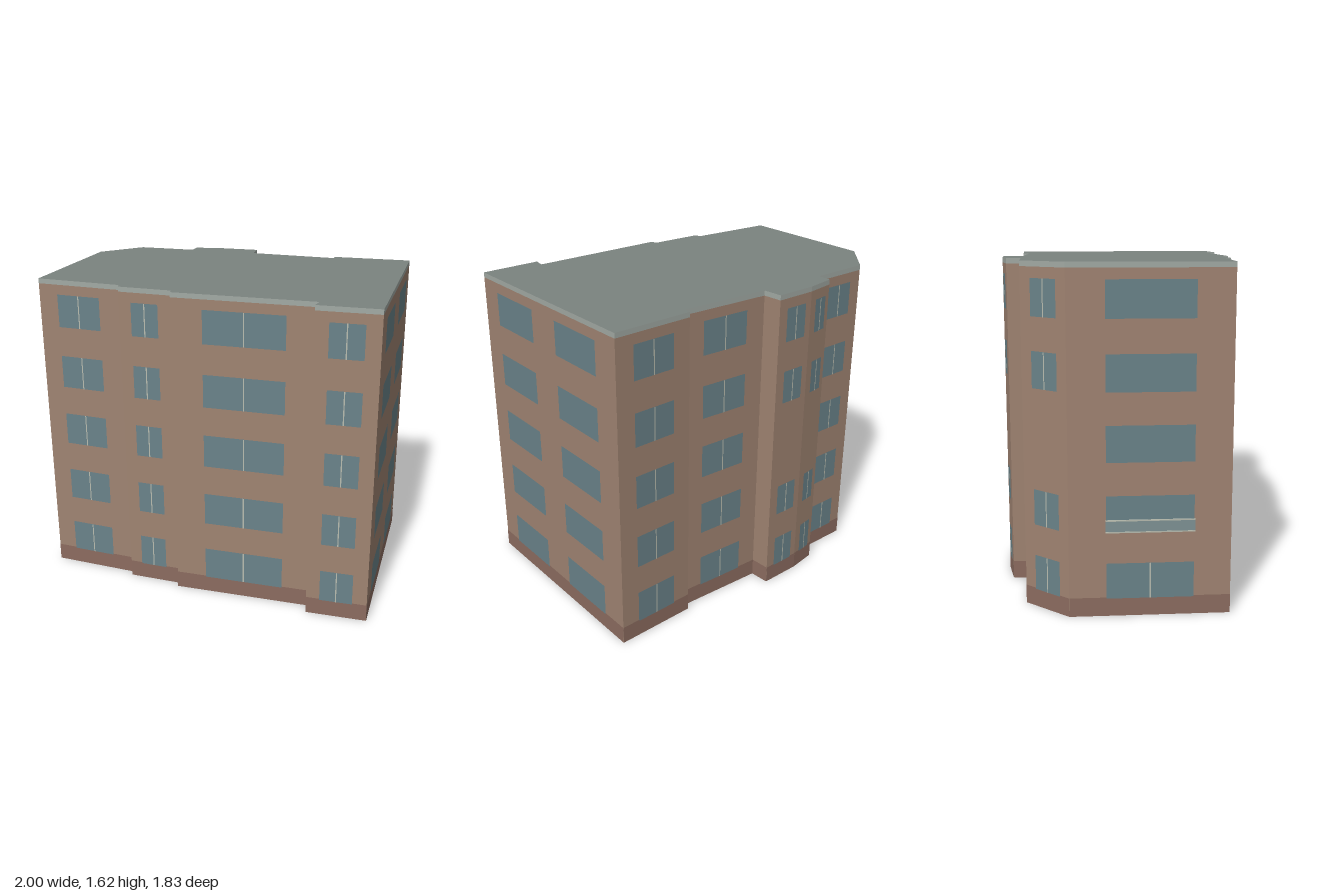
import * as THREE from 'three';

const HEIGHT = 1.62, CAP = 0.025, BASE = 0.09;
const ROWS = [0.085, 0.405, 0.73, 1.05, 1.375];
const WINDOW_H = 0.17;

const material = (color, side = THREE.FrontSide) => new THREE.MeshStandardMaterial({ color, side });
const mats = {
  wall: material(0xa08472, THREE.DoubleSide),
  base: material(0x8c6c60),
  cap: material(0xa2aaa4, THREE.DoubleSide),
  roof: material(0x7b837f, THREE.DoubleSide),
  glass: material(0x6a838a),
  frame: material(0xb9bdb0),
  panel: material(0x7e9294),
};

const ALL = [0, 1, 2, 3, 4], NO_MIDDLE = [0, 1, 3, 4];
const bay = (from = 0.23, to = 0.77, rows = ALL, mullions = rows) => ({ from, to, rows, mullions });

// Footprint corners [x, z], counter-clockwise from above,
// each with the window bays of the wall that starts there
const facades = [
  [0.33, 0.91, [bay(0.115, 0.405, ALL, []), bay(0.58, 0.87, ALL, [])]],
  [1.0, 0.0, [bay()]],
  [0.66, -0.24, []],
  [0.635, -0.215, [bay(0.22, 0.77)]],
  [0.27, -0.51, []],
  [0.325, -0.595, [bay(0.23, 0.82, NO_MIDDLE)]],
  [0.15, -0.72, [bay(0.25, 0.8, NO_MIDDLE)]],
  [0.015, -0.79, []],
  [-0.03, -0.735, [bay()]],
  [-0.28, -0.917, [bay(0.24, 0.8, NO_MIDDLE)]],
  [-0.547, -0.866, [bay(0.23, 0.77, ALL, [0])]],
  [-1.0, -0.273, [bay(0.23, 0.75)]],
  [-0.655, 0.02, []],
  [-0.666, 0.052, [bay(0.23, 0.74)]],
  [-0.448, 0.226, []],
  [-0.463, 0.255, [bay(0.22, 0.79)]],
  [0.122, 0.684, []],
  [0.078, 0.728, [bay(0.22, 0.76)]],
];
const BALCONY_WALL = 10;

// Upright rectangle in the local plane of a wall
function panel(name, mat, x0, x1, y0, y1, z) {
  const mesh = new THREE.Mesh(new THREE.PlaneGeometry(x1 - x0, y1 - y0), mat);
  mesh.position.set((x0 + x1) / 2, (y0 + y1) / 2, z);
  mesh.name = name;
  return mesh;
}

function box(name, mat, width, height, depth, x, y, z) {
  const mesh = new THREE.Mesh(new THREE.BoxGeometry(width, height, depth), mat);
  mesh.position.set(x, y, z);
  mesh.name = name;
  return mesh;
}

// One wall: local x runs along it, local z points outwards
function createFacade([x0, z0, bays], [x1, z1]) {
  const dx = x1 - x0, dz = z1 - z0, length = Math.hypot(dx, dz);
  const facade = new THREE.Group();
  facade.name = 'facade';
  facade.position.set(x0, 0, z0);
  facade.rotation.y = Math.atan2(-dz, dx);
  facade.add(
    panel('wall', mats.wall, 0, length, 0, HEIGHT - CAP, 0),
    panel('roofEdge', mats.cap, 0, length, HEIGHT - CAP, HEIGHT, 0),
    panel('baseBand', mats.base, 0, length, 0, BASE, 0.0015),
  );
  for (const { from, to, rows, mullions } of bays) {
    const a = from * length, b = to * length, mid = (a + b) / 2;
    for (const row of rows) {
      const y = ROWS[row];
      facade.add(panel('window', mats.glass, a, b, y, y + WINDOW_H, 0.003));
      if (mullions.includes(row)) {
        facade.add(panel('mullion', mats.frame, mid - 0.003, mid + 0.003, y, y + WINDOW_H, 0.0045));
      }
    }
  }
  return { facade, length };
}

// Shallow balcony guard across the foot of a window
function createBalcony(length) {
  const balcony = new THREE.Group();
  balcony.name = 'balconyGuard';
  const width = length * 0.55, x = length / 2, y = ROWS[1];
  balcony.add(
    box('guardPanel', mats.panel, width, 0.055, 0.005, x, y + 0.0275, 0.005),
    box('guardTopRail', mats.frame, width, 0.006, 0.008, x, y + 0.055, 0.005),
    box('guardBottomRail', mats.frame, width, 0.006, 0.008, x, y, 0.005),
  );
  return balcony;
}

export function createModel() {
  const building = new THREE.Group();
  building.name = 'apartmentBlock';

  // Walls with their windows; the underside stays open
  facades.forEach((start, i) => {
    const { facade, length } = createFacade(start, facades[(i + 1) % facades.length]);
    if (i === BALCONY_WALL) facade.add(createBalcony(length));
    building.add(facade);
  });

  // Flat roof
  const outline = new THREE.Shape(facades.map(([x, z]) => new THREE.Vector2(x, -z)));
  const roof = new THREE.Mesh(new THREE.ShapeGeometry(outline).rotateX(-Math.PI / 2), mats.roof);
  roof.position.y = HEIGHT;
  roof.name = 'roof';
  building.add(roof);

  return building;
}
